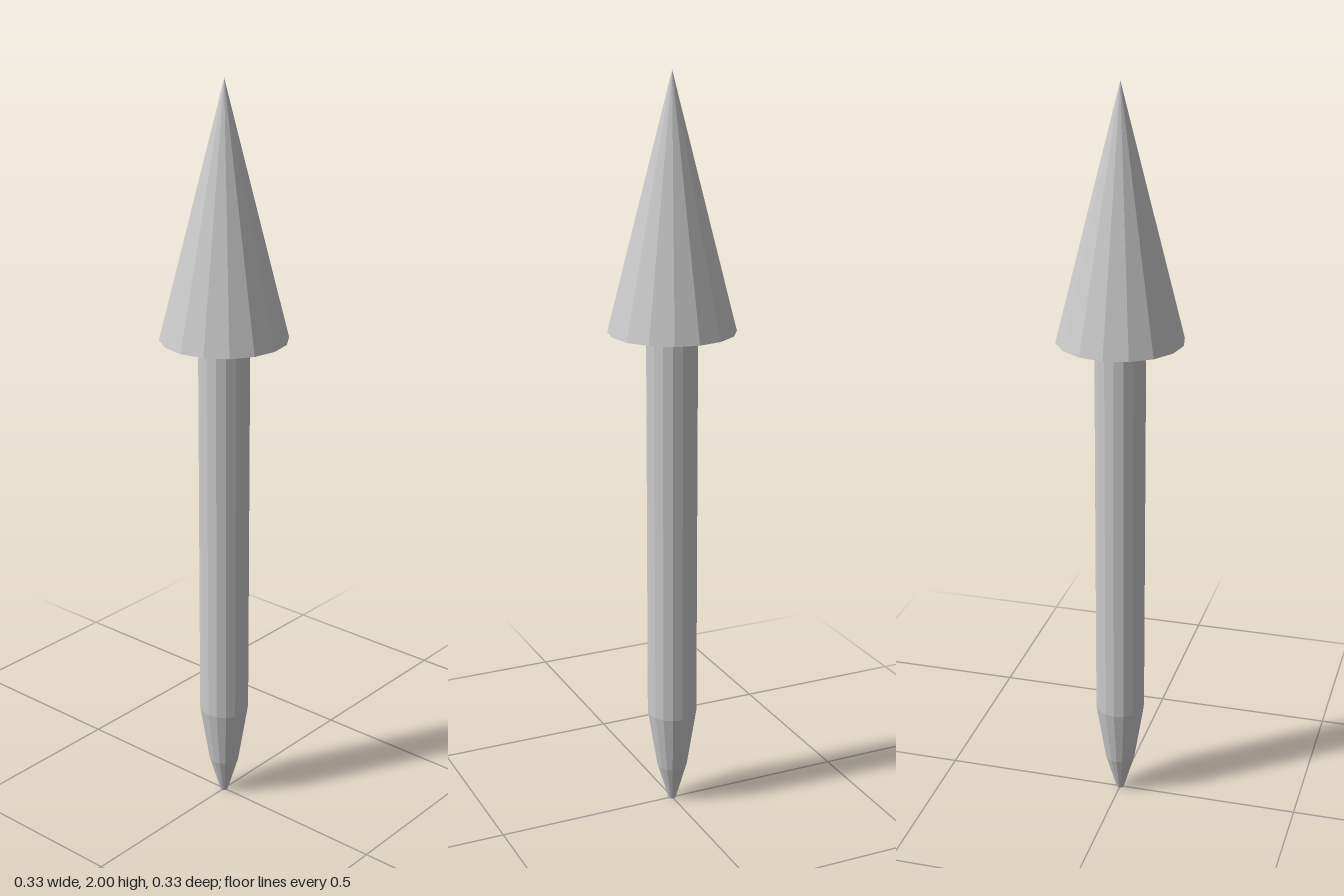
import * as THREE from 'three';

const SIDES = 16;

export function createModel() {
  const model = new THREE.Group();
  const material = new THREE.MeshStandardMaterial({ color: 0xcccccc, flatShading: true });

  // Adds one upright faceted section between two heights
  function addSection(name, bottomY, topY, bottomRadius, topRadius, open = false) {
    const height = topY - bottomY;
    const geometry = new THREE.CylinderGeometry(topRadius, bottomRadius, height, SIDES, 1, open);
    const mesh = new THREE.Mesh(geometry, material);
    mesh.name = name;
    mesh.position.y = bottomY + height / 2;
    model.add(mesh);
  }

  // Pointed head with a flat underside
  addSection('head', 1.34, 2, 0.167, 0);

  // Straight shaft
  addSection('shaft', 0.267, 1.34, 0.067, 0.067, true);

  // Two-step taper down to a small blunt tip
  addSection('upperTaper', 0.105, 0.267, 0.041, 0.067, true);
  addSection('tip', 0, 0.105, 0.01, 0.041);

  return model;
}
